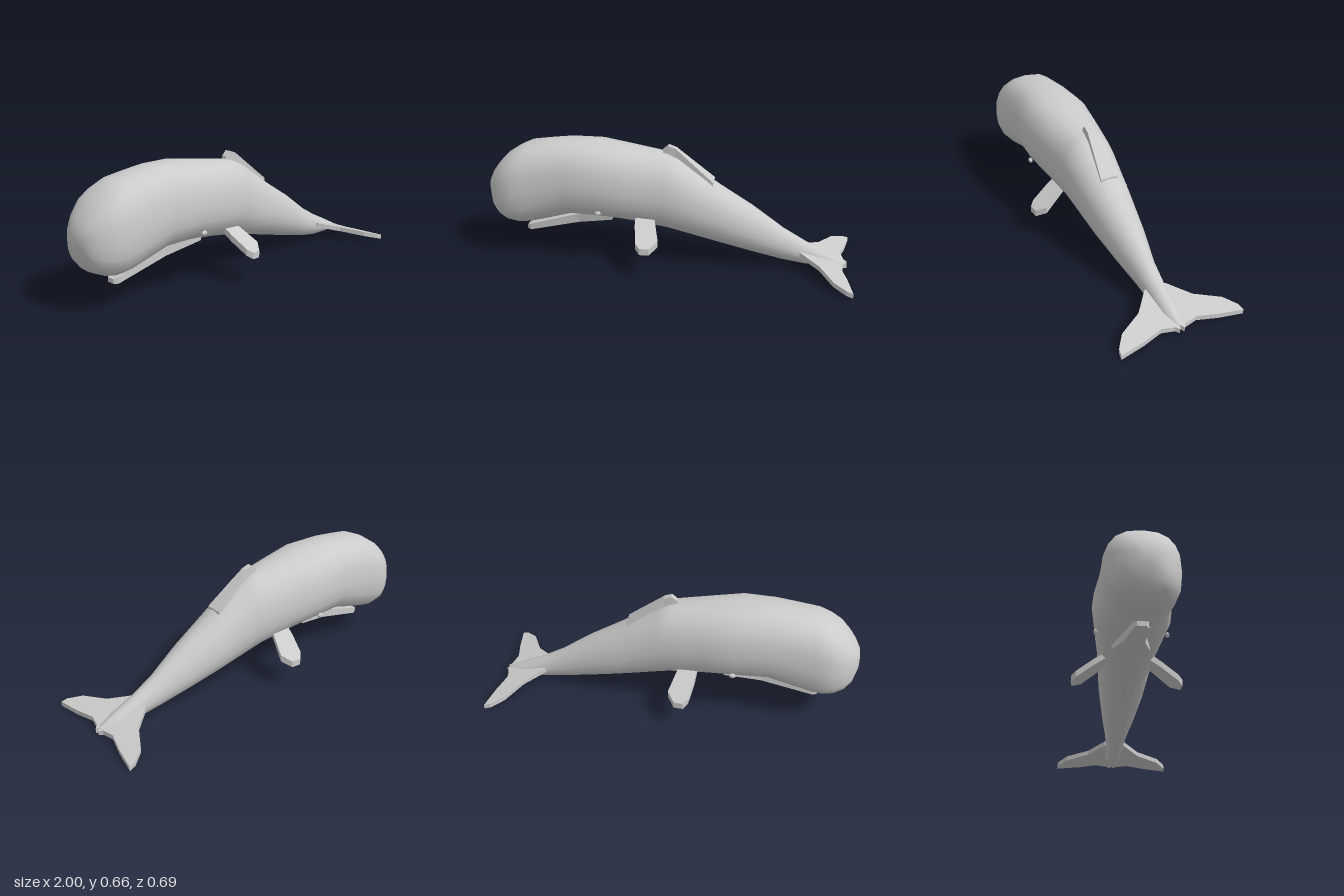
import * as THREE from 'three';

const smooth = new THREE.MeshStandardMaterial({ color: 0xcccccc });
const flat = new THREE.MeshStandardMaterial({ color: 0xcccccc, flatShading: true });

// Skin through rings of [y, z] points stacked along x, closed at both ends
function loft(sections) {
  const n = sections[0].ring.length, pos = [], idx = [];
  for (const { x, ring } of sections) for (const [y, z] of ring) pos.push(x, y, z);
  for (let i = 0; i < sections.length - 1; i++) {
    for (let j = 0; j < n; j++) {
      const a = i * n + j, b = i * n + (j + 1) % n;
      idx.push(a, b, a + n, b, b + n, a + n);
    }
  }
  const cap = (s, first, flip) => {
    const c = pos.length / 3;
    pos.push(s.x, s.ring.reduce((t, p) => t + p[0], 0) / n, 0);
    for (let j = 0; j < n; j++) {
      const a = first + j, b = first + (j + 1) % n;
      idx.push(c, flip ? b : a, flip ? a : b);
    }
  };
  cap(sections[0], 0, true);
  cap(sections[sections.length - 1], (sections.length - 1) * n, false);
  const g = new THREE.BufferGeometry();
  g.setAttribute('position', new THREE.Float32BufferAttribute(pos, 3));
  g.setIndex(idx);
  g.computeVertexNormals();
  return g;
}

// Rounded body section, boxier at the head and leaner at the tail
function bodyRing([x, top, bottom, w], sides = 20) {
  const e = 2 / THREE.MathUtils.mapLinear(x, -1, 1, 2.6, 1.8);
  const mid = bottom + (top - bottom) * 0.46;
  const bend = (v) => Math.sign(v) * Math.abs(v) ** e;
  const ring = [];
  for (let j = 0; j < sides; j++) {
    const t = (j / sides) * Math.PI * 2, c = bend(Math.cos(t));
    ring.push([mid + c * (c > 0 ? top - mid : mid - bottom), bend(Math.sin(t)) * w]);
  }
  return { x, ring };
}

// Four-cornered section
const boxRing = ([x, top, bottom, w]) => ({ x, ring: [[top, w], [bottom, w], [bottom, -w], [top, -w]] });

// Thin slab from an [x, z] outline, its top surface following height(x, z)
function slab(outline, side, thickness, height) {
  const shape = new THREE.Shape(outline.map(([x, z]) => new THREE.Vector2(x, z * side)));
  const g = new THREE.ExtrudeGeometry(shape, { depth: thickness, bevelEnabled: false });
  const p = g.attributes.position;
  for (let i = 0; i < p.count; i++) {
    const x = p.getX(i), z = p.getY(i), d = p.getZ(i);
    p.setXYZ(i, x, height(x, Math.abs(z)) - d, z);
  }
  g.computeVertexNormals();
  return g;
}

export function createModel() {
  const whale = new THREE.Group();
  whale.name = 'whale';
  const add = (name, geometry, material) => {
    const m = new THREE.Mesh(geometry, material);
    m.name = name;
    whale.add(m);
    return m;
  };

  // Body: x, top, bottom, half width
  const body = [
    [-1, 0.42, 0.325, 0.055],
    [-0.975, 0.468, 0.245, 0.105],
    [-0.94, 0.515, 0.205, 0.14],
    [-0.89, 0.566, 0.182, 0.174],
    [-0.83, 0.605, 0.17, 0.184],
    [-0.77, 0.632, 0.177, 0.185],
    [-0.66, 0.648, 0.205, 0.184],
    [-0.54, 0.662, 0.24, 0.187],
    [-0.37, 0.661, 0.24, 0.205],
    [-0.2, 0.636, 0.22, 0.184],
    [0, 0.606, 0.185, 0.155],
    [0.06, 0.58, 0.17, 0.15],
    [0.28, 0.435, 0.115, 0.127],
    [0.46, 0.328, 0.07, 0.098],
    [0.63, 0.21, 0.03, 0.063],
    [0.75, 0.142, 0.012, 0.052],
    [0.87, 0.085, 0.012, 0.045],
    [0.96, 0.04, 0.014, 0.018],
  ];
  add('body', loft(body.map((s) => bodyRing(s))), smooth);

  // Long narrow lower jaw, hanging open
  add('lowerJaw', loft([
    [-0.81, 0.138, 0.114, 0.022],
    [-0.79, 0.148, 0.113, 0.035],
    [-0.5, 0.237, 0.188, 0.052],
    [-0.3, 0.28, 0.236, 0.1],
  ].map(boxRing)), flat);

  // Back fin: narrow peak in front, widening as it slopes down the back
  add('dorsalFin', loft([
    [-0.03, 0.625, 0.56, 0.012],
    [0, 0.65, 0.55, 0.016],
    [0.04, 0.635, 0.52, 0.018],
    [0.245, 0.466, 0.38, 0.047],
  ].map(boxRing)), flat);

  const flipper = [[-0.16, 0.12], [-0.155, 0.18], [-0.135, 0.27], [-0.11, 0.295],
    [-0.06, 0.29], [-0.02, 0.24], [-0.05, 0.15], [-0.06, 0.12]];
  const fluke = [[0.72, 0], [0.725, 0.06], [0.83, 0.155], [0.9, 0.285], [0.965, 0.337], [1, 0.343],
    [0.976, 0.21], [0.947, 0.1], [0.962, 0.03], [0.98, 0.012], [0.96, 0]];

  for (const [label, side] of [['left', 1], ['right', -1]]) {
    add(label + 'Flipper', slab(flipper, side, 0.036, (x, z) => 0.262 - (z - 0.15) * 0.66 - (x + 0.1) * 0.1), flat);
    add(label + 'Fluke', slab(fluke, side, 0.026, (x) => 0.1 - (x - 0.72) * 0.265), flat);
    const eye = add(label + 'Eye', new THREE.IcosahedronGeometry(0.018, 0), flat);
    eye.position.set(-0.355, 0.305, 0.183 * side);
    eye.scale.set(1.1, 0.8, 0.7);
  }
  return whale;
}
